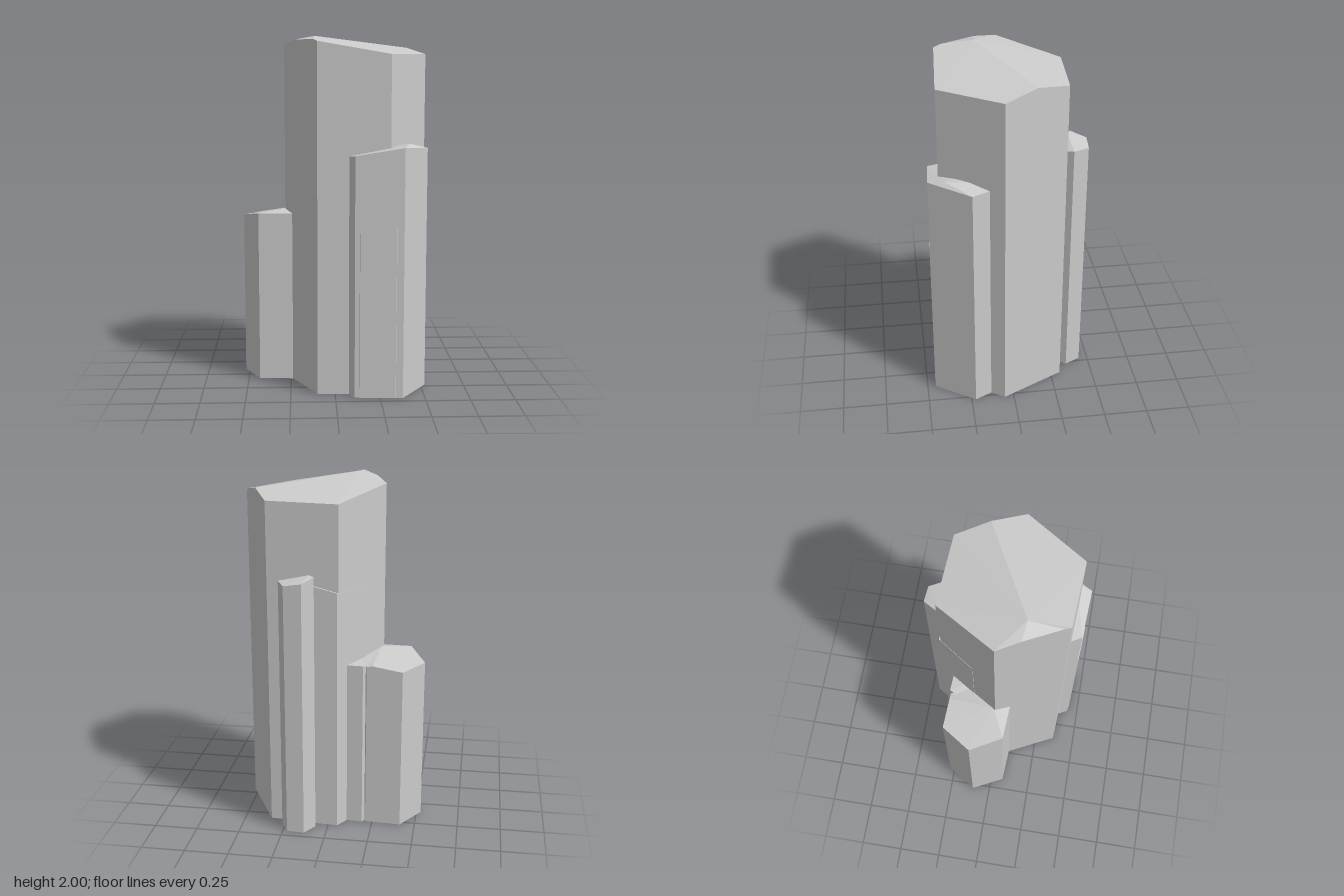
import * as THREE from 'three';

const TURN = THREE.MathUtils.degToRad(3.3); // all columns share one orientation

// Point on a hexagon outline: whole t = corner, fraction = along the edge
function rimPoint(cx, cz, r, t) {
  const corner = (k) => {
    const a = TURN + (k * Math.PI) / 3;
    return new THREE.Vector2(cx + r * Math.cos(a), cz + r * Math.sin(a));
  };
  const k = Math.floor(t);
  return corner(k).lerp(corner(k + 1), t - k);
}

// Hexagonal rock column; rim = [t, height] pairs, apex = [x, y, z] of the broken top
function column({ name, cx, cz, r, rim, apex }) {
  const pos = [];
  const tri = (a, b, c) => pos.push(...a, ...b, ...c);
  const tops = rim.map(([t, h]) => {
    const p = rimPoint(cx, cz, r, t);
    return [p.x, h, p.y];
  });
  tops.forEach((a, i) => {
    const b = tops[(i + 1) % tops.length];
    const a0 = [a[0], 0, a[2]];
    const b0 = [b[0], 0, b[2]];
    tri(apex, b, a); // top facet
    tri(a0, a, b); // side
    tri(a0, b, b0);
    tri([cx, 0, cz], a0, b0); // underside
  });
  const geo = new THREE.BufferGeometry();
  geo.setAttribute('position', new THREE.Float32BufferAttribute(pos, 3));
  geo.computeVertexNormals();
  const mesh = new THREE.Mesh(
    geo,
    new THREE.MeshStandardMaterial({ color: 0xcccccc, flatShading: true })
  );
  mesh.name = name;
  return mesh;
}

const corners = (...heights) => heights.map((h, k) => [k, h]);

const COLUMNS = [
  {
    name: 'mainColumn', cx: 0.123, cz: 0.03, r: 0.403,
    rim: [[0, 1.9], [1, 1.9], [2, 1.97], [2.1, 1.98], [2.65, 1.98], [3, 1.957], [4, 1.895], [5, 1.9], [5.5, 1.937]],
    apex: [-0.107, 2, 0.147],
  },
  {
    name: 'frontColumn', cx: 0.255, cz: 0.21, r: 0.27,
    rim: corners(1.38, 1.4, 1.355, 1.33, 1.35, 1.38), apex: [0.41, 1.415, 0.36],
  },
  {
    name: 'frontShortColumn', cx: 0.245, cz: 0.274, r: 0.2,
    rim: corners(0.98, 0.97, 0.93, 0.91, 0.92, 0.95), apex: [0.245, 0.945, 0.274],
  },
  {
    name: 'sideColumn', cx: -0.322, cz: -0.095, r: 0.205,
    rim: [[0, 0.99], [1, 0.99], [2, 0.99], [3, 0.955], [4, 0.95], [4.83, 0.975], [5, 0.97]],
    apex: [-0.265, 1.01, -0.005],
  },
  {
    name: 'sideInnerColumn', cx: -0.1, cz: -0.096, r: 0.2,
    rim: corners(0.97, 0.97, 0.97, 0.97, 0.975, 0.975), apex: [-0.1, 0.99, -0.096],
  },
  {
    name: 'backSmallColumn', cx: 0.17, cz: -0.365, r: 0.1,
    rim: corners(1.475, 1.46, 1.48, 1.505, 1.485, 1.47), apex: [0.1, 1.51, -0.35],
  },
  {
    name: 'backInnerColumn', cx: 0.059, cz: -0.117, r: 0.25,
    rim: corners(1.45, 1.45, 1.42, 1.4, 1.41, 1.47), apex: [0.059, 1.44, -0.117],
  },
];

export function createModel() {
  const group = new THREE.Group();
  group.name = 'rockColumns';
  COLUMNS.forEach((c) => group.add(column(c)));
  return group;
}
